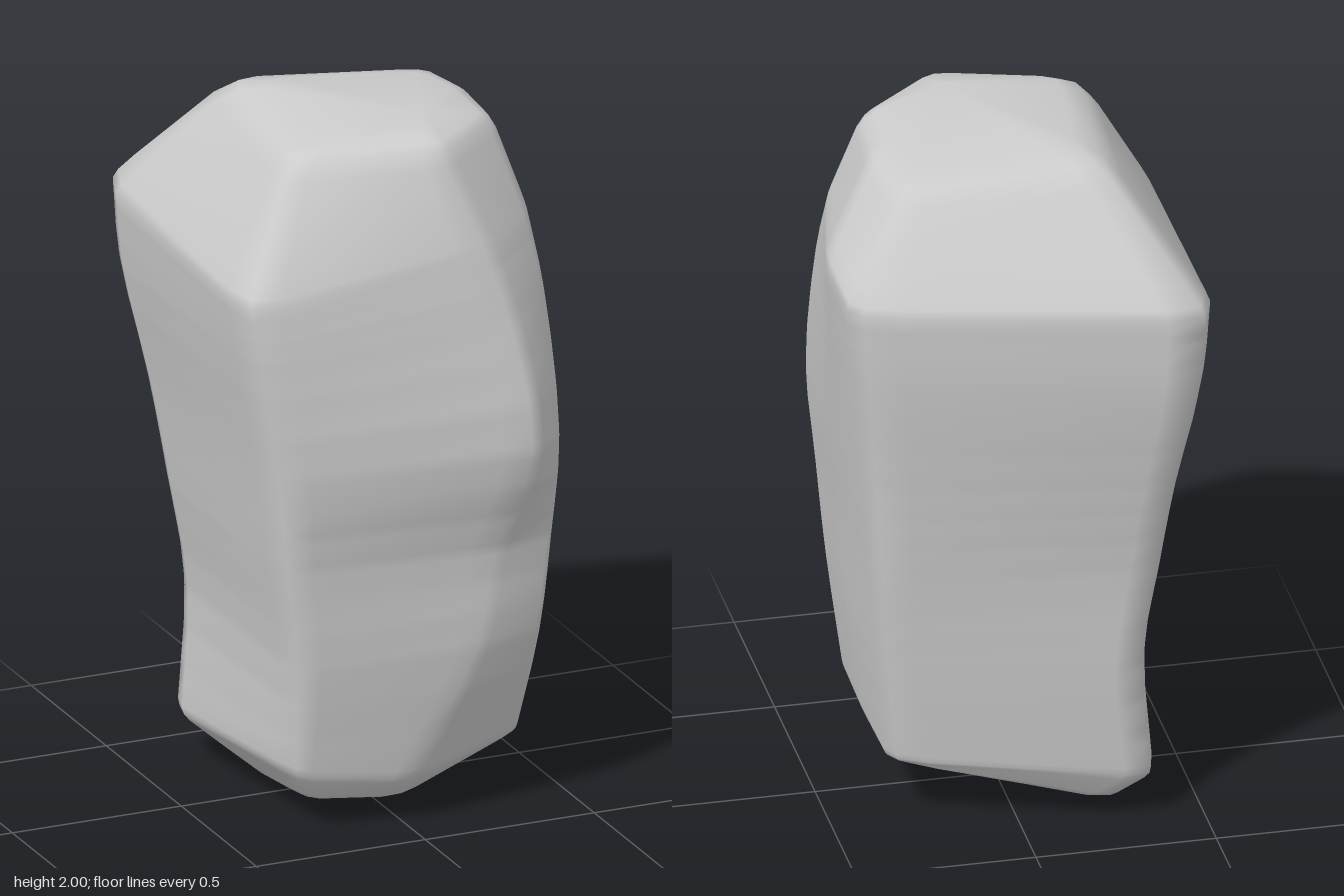
import * as THREE from 'three';

// Corner outlines from foot to crown:
// front left, front ridge, front right, right side, back right, back left
const OUTLINES = [
  [[-0.25, 0.08, 0.30], [0, 0.06, 0.33], [0.31, 0.18, 0.31], [0.33, 0.18, 0.05], [0.31, 0.18, -0.22], [-0.27, 0.05, -0.33]],
  [[-0.31, 0.17, 0.34], [0, 0.13, 0.38], [0.355, 0.21, 0.34], [0.36, 0.21, 0.05], [0.35, 0.20, -0.24], [-0.38, 0.14, -0.39]],
  [[-0.34, 0.50, 0.40], [0.18, 0.52, 0.47], [0.385, 0.52, 0.42], [0.395, 0.52, 0.08], [0.385, 0.52, -0.28], [-0.345, 0.50, -0.42]],
  [[-0.385, 0.80, 0.43], [0.23, 0.80, 0.485], [0.41, 0.80, 0.44], [0.415, 0.80, 0.10], [0.41, 0.80, -0.32], [-0.39, 0.80, -0.44]],
  [[-0.425, 1.08, 0.45], [0.31, 1.10, 0.58], [0.435, 1.08, 0.43], [0.445, 1.08, 0.10], [0.435, 1.08, -0.345], [-0.425, 1.08, -0.50]],
  [[-0.48, 1.42, 0.46], [0.26, 1.48, 0.52], [0.425, 1.48, 0.35], [0.48, 1.45, -0.05], [0.47, 1.45, -0.38], [-0.48, 1.40, -0.575]],
  [[-0.505, 1.58, 0.45], [0.20, 1.68, 0.48], [0.40, 1.68, 0.30], [0.505, 1.71, -0.14], [0.49, 1.66, -0.39], [-0.495, 1.64, -0.59]],
  [[-0.31, 1.95, 0.29], [0.09, 1.95, 0.41], [0.33, 1.95, 0.21], [0.345, 1.95, -0.02], [0.32, 1.94, -0.24], [-0.24, 1.99, -0.28]],
];
const FOOT = new THREE.Vector3(-0.2, 0, -0.14);
const CROWN = new THREE.Vector3(0.1, 2, 0.24);

// Round one corner between its neighbours into three points
function roundCorner(prev, p, next, t) {
  const a = p.clone().lerp(prev, t), b = p.clone().lerp(next, t);
  const mid = a.clone().add(b).multiplyScalar(0.25).addScaledVector(p, 0.5);
  return [a, mid, b];
}

function stoneGeometry() {
  const rings = OUTLINES.map((o) => {
    const c = o.map((p) => new THREE.Vector3(...p));
    const k = c.length;
    return c.flatMap((p, i) => roundCorner(c[(i + k - 1) % k], p, c[(i + 1) % k], 0.14));
  });
  const n = rings[0].length;

  // Vertical strips: a smooth body curve between softened foot and crown edges
  const strips = rings[0].map((_, j) => {
    const column = rings.map((r) => r[j]);
    const body = new THREE.CatmullRomCurve3(column.slice(1, -1)).getPoints(15);
    const line = [FOOT, column[0], ...body, column.at(-1), CROWN];
    return line.slice(1, -1).flatMap((p, i) => roundCorner(line[i], p, line[i + 2], 0.18));
  });
  const m = strips[0].length;
  const pos = [FOOT, ...strips.flat(), CROWN].flatMap((p) => [p.x, p.y, p.z]);
  const top = n * m + 1;
  const id = (i, j) => 1 + (j % n) * m + i;
  const index = [];
  for (let j = 0; j < n; j++) {
    index.push(0, id(0, j + 1), id(0, j));
    for (let i = 0; i < m - 1; i++) {
      const a = id(i, j), b = id(i, j + 1), c = id(i + 1, j + 1), d = id(i + 1, j);
      index.push(a, b, c, a, c, d);
    }
    index.push(id(m - 1, j), id(m - 1, j + 1), top);
  }
  const g = new THREE.BufferGeometry();
  g.setAttribute('position', new THREE.Float32BufferAttribute(pos, 3));
  g.setIndex(index);
  g.computeVertexNormals();
  return g;
}

export function createModel() {
  const group = new THREE.Group();
  group.name = 'standingStone';
  const stone = new THREE.Mesh(stoneGeometry(), new THREE.MeshStandardMaterial({ color: 0xcccccc }));
  stone.name = 'stone';
  group.add(stone);
  return group;
}
